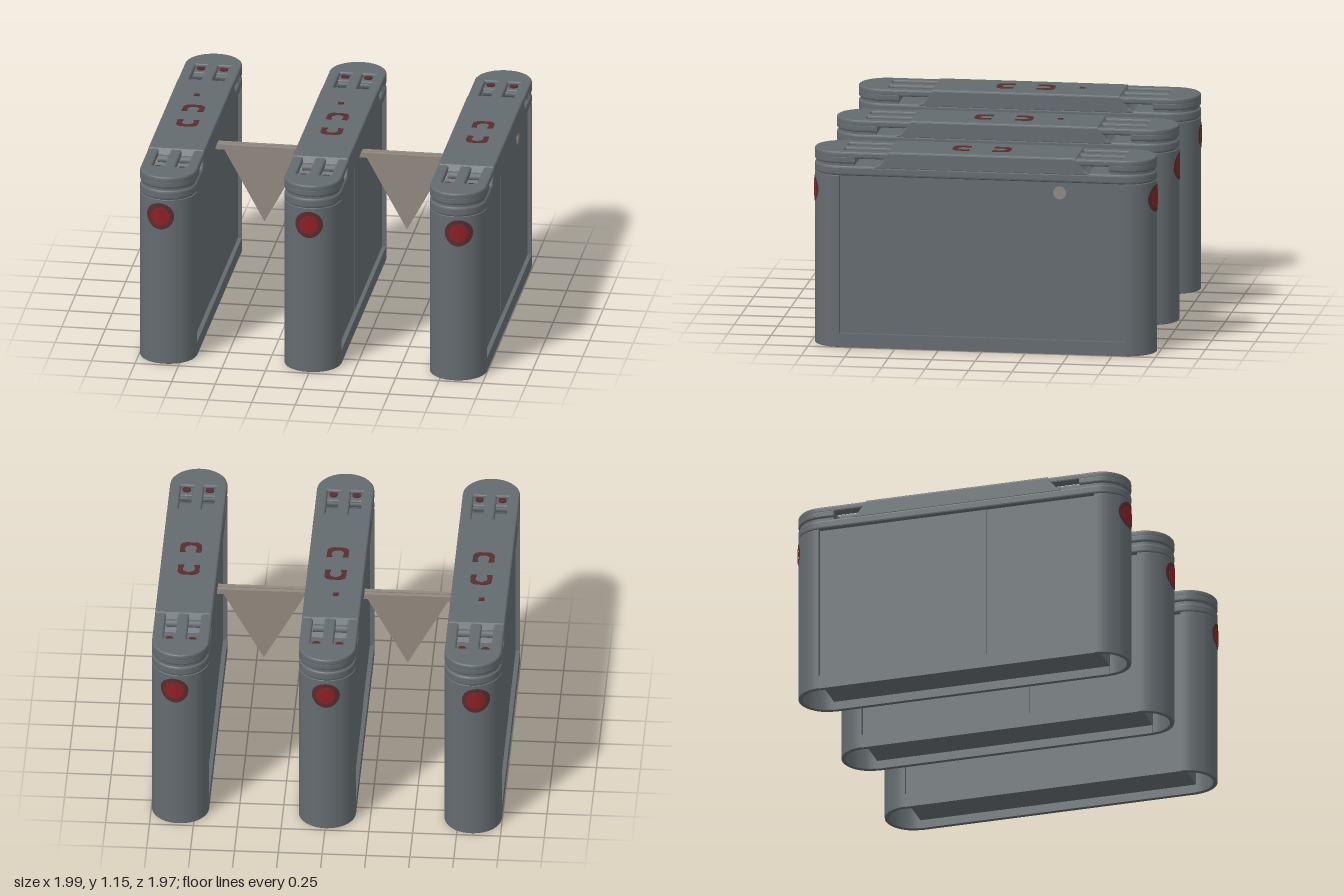
import * as THREE from 'three';

const R = 0.163;      // half width of a cabinet
const S = 0.82;       // half length of its straight part
const mat = (name, color, side = THREE.FrontSide) => {
  const m = new THREE.MeshStandardMaterial({ color, side });
  m.name = name;
  return m;
};

// capsule outline in plan
function capsule(r, s, Kind = THREE.Shape) {
  const p = new Kind();
  p.moveTo(r, -s);
  p.lineTo(r, s);
  p.absarc(0, s, r, 0, Math.PI, false);
  p.lineTo(-r, -s);
  p.absarc(0, -s, r, Math.PI, Math.PI * 2, false);
  return p;
}

function rectPath(x0, x1, y0, y1) {
  const p = new THREE.Path();
  p.moveTo(x0, y0);
  p.lineTo(x0, y1);
  p.lineTo(x1, y1);
  p.lineTo(x1, y0);
  p.closePath();
  return p;
}

// plan shape raised from y0 to y1, with an optional rounded rim
function raise(shape, y0, y1, bevel = 0) {
  const g = new THREE.ExtrudeGeometry(shape, {
    depth: y1 - y0 - 2 * bevel, curveSegments: 20, bevelEnabled: bevel > 0,
    bevelSize: bevel, bevelOffset: -bevel, bevelThickness: bevel, bevelSegments: 3,
  });
  g.rotateX(-Math.PI / 2);
  g.translate(0, y0 + bevel, 0);
  return g;
}

// disc or ring wrapped on the round end of a cabinet
function wrapped(r0, r1, lift, cx) {
  const g = new THREE.RingGeometry(r0, r1, 32, 6);
  const p = g.attributes.position;
  for (let i = 0; i < p.count; i++) {
    const x = p.getX(i) + cx;
    p.setXYZ(i, x, p.getY(i) + 0.9, S + Math.sqrt(R * R - x * x) + lift);
  }
  g.computeVertexNormals();
  return g;
}

export function createModel() {
  const grey = mat('slate grey', 0x646b6f);
  const red = mat('lamp red', 0x8c2024);
  const darkRed = mat('dark red', 0x5a2c2c);
  const beige = mat('warm grey', 0x91897f, THREE.DoubleSide);
  const model = new THREE.Group();

  const add = (parent, name, geo, m, x = 0, y = 0, z = 0) => {
    const mesh = new THREE.Mesh(geo, m);
    mesh.name = name;
    mesh.position.set(x, y, z);
    parent.add(mesh);
    return mesh;
  };
  const box = (parent, name, w, h, d, m, x, y, z) =>
    add(parent, name, new THREE.BoxGeometry(w, h, d), m, x, y, z);

  // half-round hollow end column
  const columnShape = new THREE.Shape();
  columnShape.absarc(0, 0, R, 0, Math.PI, false);
  columnShape.lineTo(-0.138, 0);
  columnShape.absarc(0, 0, 0.138, Math.PI, 0, true);
  columnShape.closePath();
  const columnGeo = raise(columnShape, 0, 1, 0.004);

  // lid layers
  const lidBaseGeo = raise(capsule(R, S), 0.998, 1.056, 0.014);
  const lidTop = capsule(R, S);
  for (const s of [-1, 1]) {
    for (const [a, b] of [[-0.1, -0.032], [0.032, 0.1]]) {
      lidTop.holes.push(s > 0 ? rectPath(a, b, 0.52, 0.8) : rectPath(a, b, -0.8, -0.52));
    }
  }
  const lidTopGeo = raise(lidTop, 1.098, 1.138, 0.012);
  const endShape = new THREE.Shape();
  endShape.moveTo(R, -0.09);
  endShape.lineTo(R, 0);
  endShape.absarc(0, 0, R, 0, Math.PI, false);
  endShape.lineTo(-R, -0.09);
  endShape.closePath();
  const lidEndGeo = raise(endShape, 1.068, 1.115, 0.012);
  const neckGeo = raise(endShape, 1.04, 1.09);
  neckGeo.scale(0.94, 1, 0.94);

  // middle of the lid, with sloping ends that leave the side openings
  const midShape = new THREE.Shape();
  midShape.moveTo(-0.63, 1.045);
  midShape.lineTo(0.63, 1.045);
  midShape.lineTo(0.59, 1.075);
  midShape.lineTo(0.54, 1.144);
  midShape.lineTo(-0.54, 1.144);
  midShape.lineTo(-0.59, 1.075);
  midShape.lineTo(-0.63, 1.045);
  const midGeo = new THREE.ExtrudeGeometry(midShape, {
    depth: 2 * R - 0.024, bevelThickness: 0.012, bevelSize: 0.012, bevelOffset: -0.012, bevelSegments: 3,
  });
  midGeo.translate(0, 0, -R + 0.012);
  midGeo.rotateY(Math.PI / 2);

  // half of the sign on the lid
  const signShape = new THREE.Shape();
  signShape.moveTo(0.062, 0);
  signShape.lineTo(0.062, 0.06);
  signShape.absarc(0.022, 0.06, 0.04, 0, Math.PI / 2, false);
  signShape.absarc(-0.022, 0.06, 0.04, Math.PI / 2, Math.PI, false);
  signShape.lineTo(-0.062, 0);
  signShape.lineTo(-0.028, 0);
  signShape.lineTo(-0.038, 0.045);
  signShape.absarc(0, 0.04, 0.034, Math.PI, 0, true);
  signShape.lineTo(0.028, 0);
  signShape.closePath();
  const signGeo = raise(signShape, 1.142, 1.147);

  function cabinet(name, cx, lampX) {
    const g = new THREE.Group();
    g.name = name;
    g.position.x = cx;
    // recessed side panels in two sections, and bottom rails
    box(g, 'frontPanel', 0.276, 0.95, 0.648, grey, 0, 0.525, 0.497);
    box(g, 'backPanel', 0.28, 0.95, 0.993, grey, 0, 0.525, -0.3235);
    for (const s of [-1, 1]) {
      box(g, 'bottomRail', 0.026, 0.08, 2 * S, grey, s * (R - 0.013), 0.04, 0);
    }
    add(g, 'lidBase', lidBaseGeo, grey);
    add(g, 'lidMiddle', midGeo, grey);
    add(g, 'lidTop', lidTopGeo, grey);

    for (const turn of [0, Math.PI]) {
      const end = new THREE.Group();
      end.name = turn ? 'backEnd' : 'frontEnd';
      end.rotation.y = turn;
      g.add(end);
      // the plan is mirrored in z when raised, so face the round side outward
      for (const [n, geo] of [['column', columnGeo], ['lidNeck', neckGeo], ['lidEnd', lidEndGeo]]) {
        add(end, n, geo, grey, 0, 0, S).rotation.y = Math.PI;
      }
      const lx = turn ? -lampX : lampX;
      add(end, 'lampRim', wrapped(0.054, 0.08, 0.003, lx), darkRed);
      add(end, 'lamp', wrapped(0, 0.054, 0.004, lx), red);
      // rollers and small lights inside the lid slots
      for (const z of [0.57, 0.75]) {
        const roller = add(end, 'roller', new THREE.CylinderGeometry(0.024, 0.024, 0.2, 14), grey, 0, 1.088, z);
        roller.rotation.z = Math.PI / 2;
      }
      for (const x of [-0.066, 0.066]) {
        add(end, 'slotLight', new THREE.CylinderGeometry(0.024, 0.024, 0.008, 14), darkRed, x, 1.119, 0.782);
      }
    }

    // sign halves
    add(g, 'signBack', signGeo, darkRed, 0, 0, -0.045);
    add(g, 'signFront', signGeo, darkRed, 0, 0, 0.09).rotation.y = Math.PI;
    model.add(g);
    return g;
  }

  const cabinets = [
    cabinet('rightCabinet', -0.834, -0.025),
    cabinet('middleCabinet', -0.003, 0),
    cabinet('leftCabinet', 0.834, 0.025),
  ];
  for (const c of cabinets.slice(0, 2)) {
    box(c, 'lidMark', 0.032, 0.006, 0.03, darkRed, -0.015, 1.145, -0.3);
  }

  // round sensor on the outer side of the left cabinet
  const sensor = add(cabinets[2], 'sensor', new THREE.CylinderGeometry(0.037, 0.037, 0.008, 24), beige, 0.142, 0.935, -0.445);
  sensor.rotation.z = Math.PI / 2;

  // triangular wing gates hung from twin rails
  const wing = new THREE.Shape();
  wing.moveTo(-0.24, 0.96);
  wing.lineTo(0, 0.52);
  wing.lineTo(0.24, 0.96);
  wing.closePath();
  const wingGeo = new THREE.ExtrudeGeometry(wing, { depth: 0.03, bevelEnabled: false });
  for (const s of [-1, 1]) {
    const gate = new THREE.Group();
    gate.name = s < 0 ? 'rightGate' : 'leftGate';
    gate.position.x = s * 0.41;
    add(gate, 'wing', wingGeo, beige, 0, 0, -0.02);
    for (const z of [-0.022, 0.012]) {
      box(gate, 'gateRail', 0.56, 0.03, 0.026, beige, 0, 0.965, z);
    }
    model.add(gate);
  }
  return model;
}
